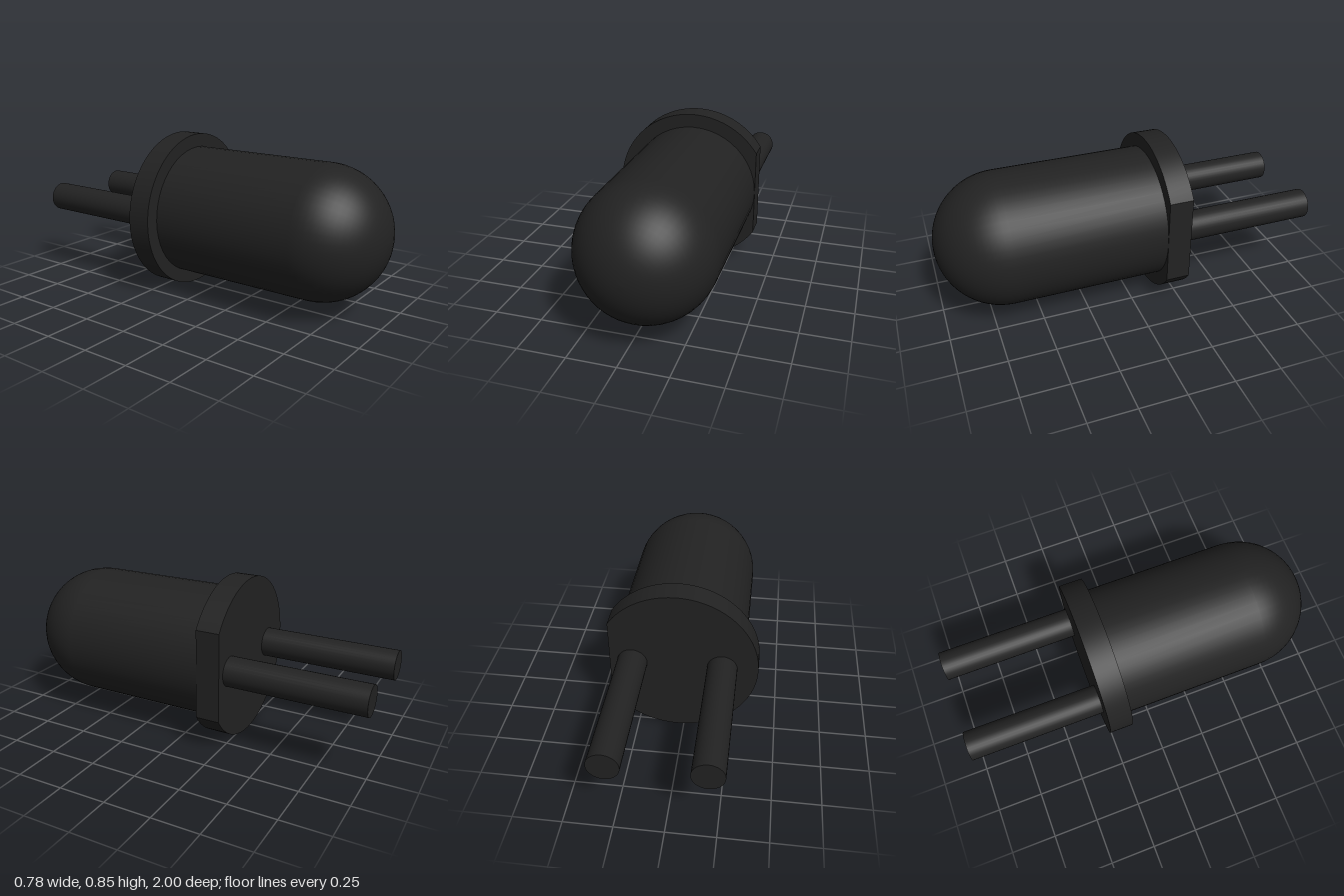
import * as THREE from 'three';
import { toCreasedNormals } from 'three/addons/utils/BufferGeometryUtils.js';

const CX = 0.035, CY = 0.427;           // axis of the round body
const BODY_R = 0.354, FLANGE_R = 0.426;
const FLANGE_BACK = -0.272, FLANGE_FRONT = -0.145;

export function createModel() {
  const group = new THREE.Group();
  const material = new THREE.MeshStandardMaterial({ color: 0x222222 });

  const add = (name, geometry, x, y, z) => {
    const mesh = new THREE.Mesh(geometry, material);
    mesh.name = name;
    mesh.position.set(x, y, z);
    group.add(mesh);
  };

  // Lens: straight barrel running into a hemispherical dome
  const domeStart = 1 - BODY_R;
  const profile = [new THREE.Vector2(BODY_R, FLANGE_FRONT)];
  const steps = 16;
  for (let i = 0; i <= steps; i++) {
    const a = (i / steps) * Math.PI / 2;
    const r = i === steps ? 0 : BODY_R * Math.cos(a);
    profile.push(new THREE.Vector2(r, domeStart + BODY_R * Math.sin(a)));
  }
  add('lens', new THREE.LatheGeometry(profile, 48).rotateX(Math.PI / 2), CX, CY, 0);

  // Flange: disc with one side cut flat, flush with the barrel
  const cut = Math.acos((0.39 - CX) / FLANGE_R);
  const disc = new THREE.Shape();
  disc.absarc(0, 0, FLANGE_R, cut, Math.PI * 2 - cut, false);
  disc.closePath();
  const flange = new THREE.ExtrudeGeometry(disc, {
    depth: FLANGE_FRONT - FLANGE_BACK, bevelEnabled: false, curveSegments: 40,
  });
  add('flange', toCreasedNormals(flange, Math.PI / 8), CX, CY, FLANGE_BACK);

  // Two round leads out of the back
  const length = 1 + FLANGE_BACK;
  for (const [name, x] of [['leftLead', 0.27], ['rightLead', -0.203]]) {
    const lead = new THREE.CylinderGeometry(0.079, 0.079, length, 32).rotateX(Math.PI / 2);
    add(name, lead, x, CY, FLANGE_BACK - length / 2);
  }

  return group;
}
